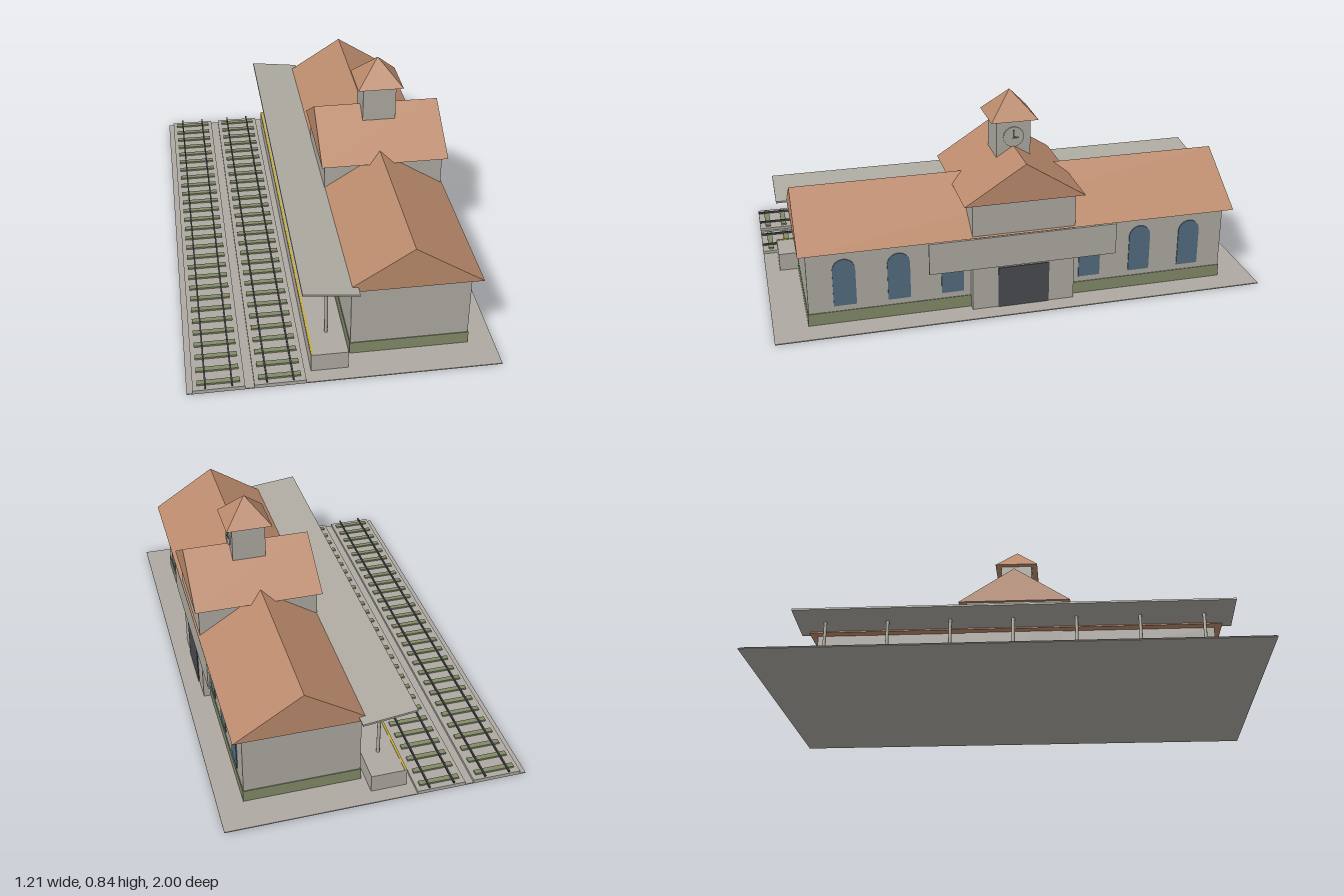
import * as THREE from 'three';

export function createModel() {
  const model = new THREE.Group();
  model.name = 'trainStation';

  const paint = (name, color) => {
    const m = new THREE.MeshStandardMaterial({ color });
    m.name = name;
    return m;
  };
  const stone = paint('stone', 0xaeaaa2);
  const tile = paint('roofTile', 0xbb8a6c);
  const green = paint('mossGreen', 0x838b68);
  const glass = paint('glassBlue', 0x546c80);
  const dark = paint('darkMetal', 0x494b50);
  const yellow = paint('safetyYellow', 0xc8ae3c);

  const add = (name, geometry, material, parent = model) => {
    const mesh = new THREE.Mesh(geometry, material);
    mesh.name = name;
    parent.add(mesh);
    return mesh;
  };
  // Box given by its lower and upper limits on each axis
  const box = (name, material, x0, x1, y0, y1, z0, z1, parent) => {
    const g = new THREE.BoxGeometry(x1 - x0, y1 - y0, z1 - z0);
    g.translate((x0 + x1) / 2, (y0 + y1) / 2, (z0 + z1) / 2);
    return add(name, g, material, parent);
  };
  // Solid gable roof with its ridge along z
  const gable = (halfWidth, rise, length) => {
    const s = new THREE.Shape([
      new THREE.Vector2(-halfWidth, 0),
      new THREE.Vector2(halfWidth, 0),
      new THREE.Vector2(0, rise),
    ]);
    return new THREE.ExtrudeGeometry(s, { depth: length, bevelEnabled: false })
      .translate(0, 0, -length / 2);
  };

  // Ground slab
  box('ground', stone, -0.605, 0.605, 0, 0.004, -1, 1);

  // Long hall with green plinth
  box('hallWalls', stone, 0.035, 0.5, 0.004, 0.326, -0.86, 0.86);
  box('plinth', green, 0.032, 0.503, 0.004, 0.055, -0.863, 0.863);
  add('hallRoof', gable(0.2725, 0.175, 1.78), tile).position.set(0.267, 0.325, 0);

  // Taller cross block over the entrance
  box('entranceWalls', stone, 0.03, 0.532, 0.004, 0.468, -0.21, 0.21);
  const crossRoof = add('entranceRoof', gable(0.245, 0.158, 0.535), tile);
  crossRoof.rotation.y = Math.PI / 2;
  crossRoof.position.set(0.2825, 0.467, 0);
  box('entranceDoor', dark, 0.53, 0.536, 0.004, 0.18, -0.105, 0.105);
  box('entranceSignBoard', stone, 0.53, 0.538, 0.187, 0.32, -0.385, 0.385);

  // Arched windows on the street side
  const arch = new THREE.Shape();
  arch.moveTo(-0.045, 0.08);
  arch.lineTo(0.045, 0.08);
  arch.lineTo(0.045, 0.235);
  arch.absarc(0, 0.235, 0.045, 0, Math.PI, false);
  arch.closePath();
  const windowGeometry = new THREE.ExtrudeGeometry(arch, {
    depth: 0.006, bevelEnabled: false, curveSegments: 16,
  });
  for (const z of [0.285, 0.5, 0.715]) {
    for (const side of [-1, 1]) {
      const w = add('archedWindow', windowGeometry, glass);
      w.rotation.y = Math.PI / 2;
      w.position.set(0.498, 0, side * z);
    }
  }

  // Clock tower
  const tower = new THREE.Group();
  tower.name = 'clockTower';
  tower.position.set(0.284, 0, 0);
  model.add(tower);
  box('towerWalls', stone, -0.07, 0.07, 0.57, 0.736, -0.07, 0.07, tower);
  const spire = new THREE.ConeGeometry(0.096 * Math.SQRT2, 0.107, 4)
    .rotateY(Math.PI / 4).toNonIndexed();
  spire.computeVertexNormals();
  add('towerRoof', spire, tile, tower).position.y = 0.788;
  const face = new THREE.CylinderGeometry(0.042, 0.042, 0.006, 24).rotateZ(Math.PI / 2);
  add('clockFace', face, stone, tower).position.set(0.072, 0.663, 0);
  box('minuteHand', dark, 0.074, 0.077, 0.657, 0.692, -0.003, 0.004, tower);
  box('hourHand', dark, 0.074, 0.077, 0.657, 0.664, -0.022, 0.004, tower);

  // Platform with sloping canopy on posts
  box('platform', stone, -0.13, 0.015, 0.004, 0.08, -0.94, 0.94);
  box('platformEdgeLine', yellow, -0.128, -0.12, 0.079, 0.082, -0.94, 0.94);
  const canopy = add('platformCanopy', new THREE.BoxGeometry(0.217, 0.008, 1.87), stone);
  canopy.position.set(-0.053, 0.355, 0);
  canopy.rotation.z = -0.116;
  const post = new THREE.CylinderGeometry(0.007, 0.007, 0.274, 10);
  for (let i = -3; i <= 3; i++) {
    add('canopyPost', post, stone).position.set(-0.053, 0.217, i * 0.27);
  }

  // Two railway tracks: bed, sleepers and rails
  for (const x of [-0.484, -0.253]) {
    const track = new THREE.Group();
    track.name = 'railwayTrack';
    track.position.x = x;
    model.add(track);
    box('trackBed', stone, -0.098, 0.098, 0.004, 0.016, -1, 1, track);
    for (let i = 0; i < 28; i++) {
      const z = (i - 13.5) * 0.0714;
      box('sleeper', green, -0.081, 0.081, 0.015, 0.023, z - 0.011, z + 0.011, track);
    }
    for (const r of [-0.05, 0.05]) {
      box('rail', dark, r - 0.003, r + 0.003, 0.022, 0.03, -1, 1, track);
    }
  }

  return model;
}
